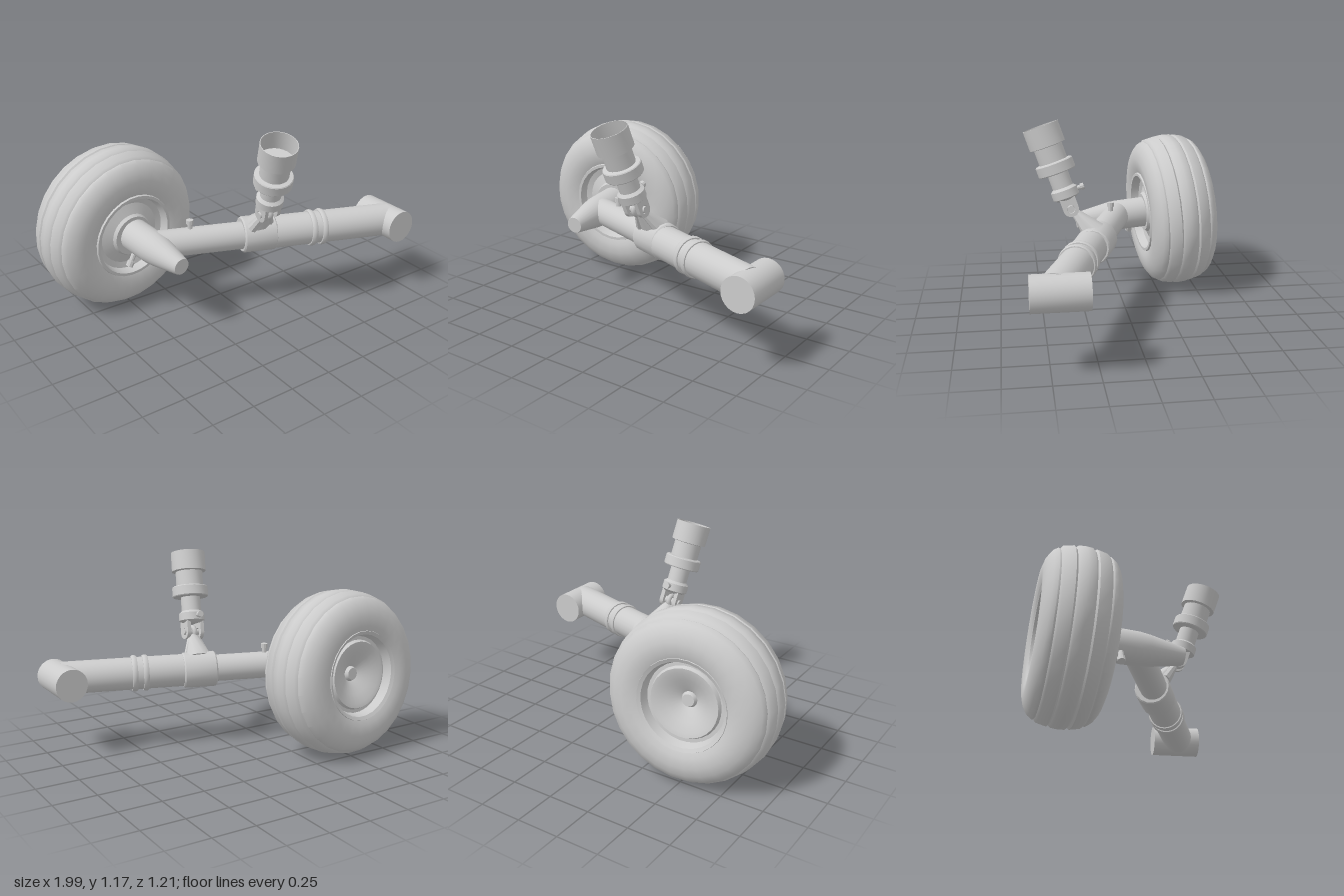
import * as THREE from 'three';
import { toCreasedNormals } from 'three/addons/utils/BufferGeometryUtils.js';

const material = new THREE.MeshStandardMaterial({ color: 0xcccccc });
const UP = new THREE.Vector3(0, 1, 0);
const V = (x, y, z) => new THREE.Vector3(x, y, z);

// Smooth curved faces, keep hard edges (scaled up so small parts stay distinct)
function crease(geometry, angle = 0.6) {
  geometry.scale(100, 100, 100);
  const g = toCreasedNormals(geometry, angle);
  return g.scale(0.01, 0.01, 0.01);
}

function addMesh(parent, name, geometry) {
  const mesh = new THREE.Mesh(geometry, material);
  mesh.name = name;
  parent.add(mesh);
  return mesh;
}

// Turned part: profile pairs [radius, distance from origin] along a direction
function turned(parent, name, origin, dir, profile, sides = 24, angle = 0.6) {
  const points = profile.map(([r, t]) => new THREE.Vector2(r, t));
  const mesh = addMesh(parent, name, crease(new THREE.LatheGeometry(points, sides), angle));
  mesh.position.copy(origin);
  mesh.quaternion.setFromUnitVectors(UP, dir.clone().normalize());
  return mesh;
}

// Plain capped rod between two points
function rod(parent, name, a, b, r0, r1 = r0, sides = 24) {
  const dir = b.clone().sub(a), len = dir.length();
  return turned(parent, name, a, dir, [[0, 0], [r0, 0], [r1, len], [0, len]], sides);
}

// Small stud: shaft with a wider head
function stud(parent, name, origin, dir, len, r) {
  turned(parent, name, origin, dir, [[0, 0], [r * 0.7, 0], [r * 0.7, len * 0.6],
    [r, len * 0.62], [r, len], [0, len]], 10);
}

export function createModel() {
  const model = new THREE.Group();
  model.name = 'landingGearLeg';

  // Wheel, slightly toed and cambered; profile runs from outer face to inner face
  const wheel = new THREE.Group();
  wheel.name = 'wheel';
  model.add(wheel);
  const wheelAxis = V(0.1, -0.065, 1).normalize();
  const wheelCentre = V(-0.51, 0.495, -0.365);
  turned(wheel, 'tyre', wheelCentre, wheelAxis, [
    [0.24, -0.13], [0.25, -0.185], [0.29, -0.203], [0.35, -0.205], [0.4, -0.19],
    [0.438, -0.165], [0.455, -0.14], [0.452, -0.13], [0.468, -0.118], [0.481, -0.06],
    [0.472, -0.05], [0.484, -0.038], [0.487, 0], [0.484, 0.038], [0.472, 0.05],
    [0.481, 0.06], [0.468, 0.118], [0.452, 0.13], [0.455, 0.14], [0.438, 0.165],
    [0.4, 0.19], [0.35, 0.205], [0.29, 0.203], [0.25, 0.185], [0.24, 0.13],
  ], 28, 0.9);
  turned(wheel, 'rim', wheelCentre, wheelAxis, [
    [0, -0.105], [0.035, -0.105], [0.045, -0.085], [0.06, -0.095], [0.12, -0.125],
    [0.17, -0.15], [0.195, -0.155], [0.205, -0.135], [0.225, -0.135], [0.24, -0.185],
    [0.26, -0.195], [0.27, -0.17], [0.25, 0], [0.265, 0.17], [0.255, 0.2],
    [0.238, 0.2], [0.225, 0.15], [0.19, 0.14], [0.13, 0.165], [0.12, 0.185], [0, 0.185],
  ], 28);

  // Tapered stub axle
  const axleStart = V(-0.485, 0.487, -0.19);
  const axleDir = V(0.045, -0.032, 0.44);
  turned(model, 'axle', axleStart, axleDir, [
    [0, 0], [0.096, 0], [0.095, 0.19], [0.088, 0.25], [0.052, 0.435], [0.048, 0.447], [0, 0.447],
  ]);
  stud(model, 'axleStud', V(-0.535, 0.42, -0.1), V(-0.04, -0.08, 0), 0.085, 0.022);

  // Cross arm: thin tube, thick tube, bands and clamp along one line
  const armStart = V(-0.46, 0.482, -0.014);
  const armEnd = V(0.9, 0.464, 0.475);
  const onArm = (x) => armStart.clone().lerp(armEnd, (x + 0.46) / 1.36);
  const armDir = armEnd.clone().sub(armStart).normalize();
  rod(model, 'thinArm', armStart, onArm(0.15), 0.081);
  rod(model, 'thickArm', onArm(0.13), armEnd, 0.097);
  for (const x of [0.435, 0.497]) {
    turned(model, 'armBand', onArm(x), armDir, [
      [0.09, -0.017], [0.104, -0.016], [0.109, -0.006], [0.109, 0.006], [0.104, 0.016], [0.09, 0.017],
    ]);
  }
  turned(model, 'clamp', onArm(0.13).add(V(0, 0, -0.008)), armDir, [
    [0, -0.1], [0.1, -0.1], [0.107, -0.092], [0.107, 0.092], [0.1, 0.1], [0, 0.1],
  ], 16);
  stud(model, 'armStud', V(-0.255, 0.545, 0.057), UP, 0.068, 0.021);

  // Pivot sleeve at the inboard end
  rod(model, 'pivotSleeve', V(0.903, 0.458, 0.297), V(0.903, 0.458, 0.6), 0.097);

  // Strut, built along its own axis from the joint upward
  const strut = new THREE.Group();
  strut.name = 'strut';
  const joint = V(0.093, 0.675, 0.33);
  strut.position.copy(joint);
  strut.quaternion.setFromUnitVectors(UP, V(-0.061, 0.468, 0.16).normalize());
  model.add(strut);
  turned(strut, 'strutBody', V(0, 0, 0), UP, [
    [0, 0.055], [0.055, 0.055], [0.078, 0.07], [0.078, 0.115], [0.06, 0.13], [0.06, 0.216],
    [0.106, 0.218], [0.11, 0.223], [0.11, 0.277], [0.106, 0.282], [0.083, 0.286], [0.083, 0.376],
    [0.105, 0.38], [0.105, 0.498], [0.101, 0.498], [0.101, 0.385], [0, 0.385],
  ]);
  stud(strut, 'strutStud', V(0, 0.095, -0.06), V(0, 0, -1), 0.055, 0.019);

  // Fork plates with pin holes
  const plate = new THREE.Shape();
  plate.moveTo(-0.045, 0.09).lineTo(-0.045, 0);
  plate.absarc(0, 0, 0.045, Math.PI, Math.PI * 2, false);
  plate.lineTo(0.045, 0.09);
  plate.closePath();
  const hole = new THREE.Path();
  hole.absarc(0, 0, 0.024, 0, Math.PI * 2, true);
  plate.holes.push(hole);
  const plateGeometry = crease(new THREE.ExtrudeGeometry(plate,
    { depth: 0.024, bevelEnabled: false, curveSegments: 8 }).translate(0, 0, -0.012).rotateY(Math.PI / 2));
  for (const side of [-1, 1]) addMesh(strut, 'forkPlate', plateGeometry).position.x = side * 0.045;
  rod(strut, 'jointPin', V(-0.065, 0, 0), V(0.065, 0, 0), 0.02, 0.02, 12);

  // Lug rising from the clamp to the joint pin
  const eye = addMesh(model, 'lugEye', new THREE.TorusGeometry(0.03, 0.015, 8, 16));
  eye.position.copy(joint);
  eye.rotation.y = Math.PI / 2;
  const lug = rod(model, 'lug', V(0.125, 0.535, 0.2), V(0.1, 0.655, 0.308), 0.095, 0.03, 10);
  lug.scale.z = 0.75;
  for (const side of [-1, 1]) {
    rod(model, 'lugBrace', V(0.115 + side * 0.06, 0.545, 0.24),
      V(0.1 + side * 0.02, 0.65, 0.31), 0.03, 0.018, 8);
  }
  return model;
}
